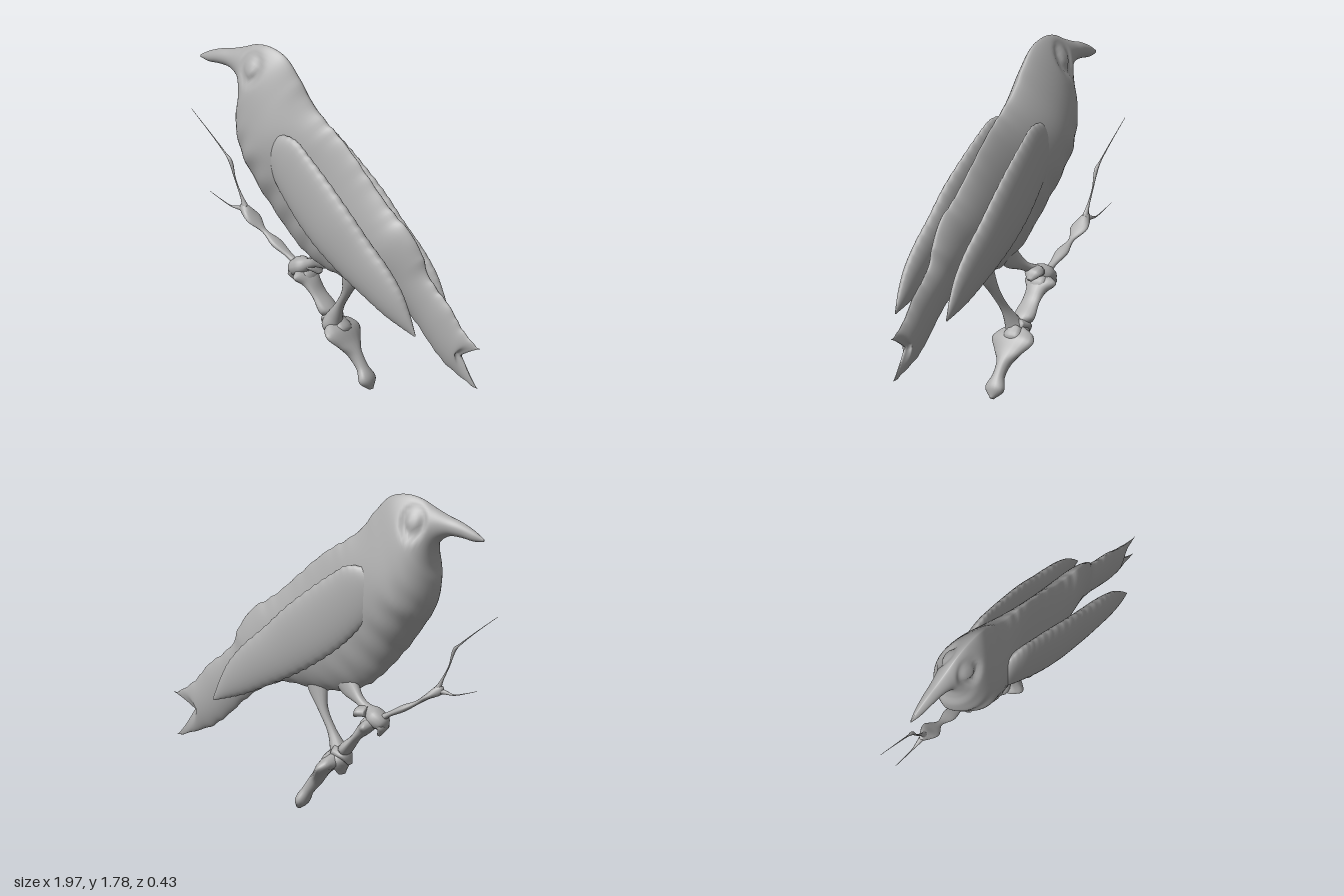
import * as THREE from 'three';

const clay = new THREE.MeshStandardMaterial({ color: 0xacacac });
clay.name = 'plain grey';

// Skins a run of rings. Each station is [topX, topY, bottomX, bottomY, halfThickness, centreZ].
// power > 1 gives a lens-shaped ring with sharp upper and lower edges.
function loft(name, stations, { rings = 60, sides = 24, power = 1, warp } = {}) {
  const top = new THREE.CatmullRomCurve3(stations.map(s => new THREE.Vector3(s[0], s[1], s[4])));
  const bottom = new THREE.CatmullRomCurve3(stations.map(s => new THREE.Vector3(s[2], s[3], s[5])));
  const pos = [], index = [];
  for (let i = -1; i <= rings + 1; i++) {
    const t = THREE.MathUtils.clamp(i / rings, 0, 1);
    const a = top.getPoint(t), b = bottom.getPoint(t);
    const closed = i < 0 || i > rings ? 0 : 1; // first and last rings shrink to a cap
    for (let j = 0; j < sides; j++) {
      const angle = j / sides * Math.PI * 2, c = Math.cos(angle), s = Math.sin(angle);
      const k = (1 - c) / 2;
      const p = new THREE.Vector3(
        THREE.MathUtils.lerp(a.x, b.x, k), THREE.MathUtils.lerp(a.y, b.y, k),
        b.z + closed * Math.sign(s) * Math.pow(Math.abs(s), power) * Math.max(a.z, 0.001));
      if (warp) warp(p, t, c);
      pos.push(p.x, p.y, p.z);
    }
  }
  for (let i = 0; i < rings + 2; i++) {
    for (let j = 0; j < sides; j++) {
      const j2 = (j + 1) % sides;
      const p = i * sides + j, q = i * sides + j2, r = p + sides, u = q + sides;
      index.push(p, q, r, q, u, r);
    }
  }
  const geo = new THREE.BufferGeometry();
  geo.setAttribute('position', new THREE.Float32BufferAttribute(pos, 3));
  geo.setIndex(index);
  geo.computeVertexNormals();
  const mesh = new THREE.Mesh(geo, clay);
  mesh.name = name;
  return mesh;
}

// Rounded limb along a path of [x, y, z, radius, halfThickness].
function limb(name, path, options) {
  const stations = path.map((p, i) => {
    const a = path[Math.max(i - 1, 0)], b = path[Math.min(i + 1, path.length - 1)];
    const dx = b[0] - a[0], dy = b[1] - a[1], l = Math.hypot(dx, dy);
    const nx = -dy / l * p[3], ny = dx / l * p[3];
    return [p[0] + nx, p[1] + ny, p[0] - nx, p[1] - ny, p[4] ?? p[3], p[2]];
  });
  return loft(name, stations, { rings: 36, sides: 14, ...options });
}

// Bill, head, trunk and tail in one skin
function buildBody() {
  const { smoothstep } = THREE.MathUtils;
  const stations = [
    [-0.835, 1.62, -0.835, 1.605, 0.004], [-0.78, 1.655, -0.78, 1.597, 0.02],
    [-0.7, 1.69, -0.7, 1.605, 0.033], [-0.63, 1.71, -0.63, 1.6, 0.042],
    [-0.55, 1.74, -0.575, 1.56, 0.058], [-0.47, 1.775, -0.555, 1.51, 0.078],
    [-0.38, 1.785, -0.555, 1.42, 0.102], [-0.28, 1.755, -0.57, 1.33, 0.13],
    [-0.19, 1.66, -0.545, 1.2, 0.155], [-0.1, 1.54, -0.48, 1.09, 0.168],
    [0, 1.46, -0.39, 0.96, 0.148], [0.1, 1.39, -0.29, 0.84, 0.12],
    [0.22, 1.28, -0.19, 0.74, 0.105], [0.33, 1.17, -0.08, 0.675, 0.1],
    [0.43, 1.08, 0.06, 0.64, 0.095], [0.53, 1.01, 0.2, 0.635, 0.085],
    [0.62, 0.88, 0.33, 0.645, 0.07], [0.645, 0.8, 0.45, 0.6, 0.055],
    [0.72, 0.72, 0.56, 0.52, 0.045], [0.8, 0.65, 0.66, 0.42, 0.042],
    [0.86, 0.57, 0.75, 0.34, 0.038], [0.93, 0.505, 0.87, 0.28, 0.028],
    [1.0, 0.465, 0.98, 0.24, 0.005],
  ].map((s, i) => [...s, i > 15 ? -0.01 : 0]);
  return loft('body', stations, {
    rings: 160, sides: 48, power: 1.4,
    warp(p, t, c) {
      // crown and nape narrow to a ridge while the throat and breast swell
      const head = smoothstep(t, 0.16, 0.24) * (1 - smoothstep(t, 0.48, 0.64));
      p.z *= 1 - 0.32 * c * head;
      // soft pleats down the breast
      const breast = smoothstep(-c, 0.1, 0.6) * smoothstep(t, 0.3, 0.4) * (1 - smoothstep(t, 0.55, 0.65));
      p.z *= 1 + 0.04 * breast * Math.sin(t * 130);
      // feather steps along the back and belly
      const edge = Math.pow(Math.abs(c), 6) * smoothstep(t, 0.3, 0.45);
      p.y += 0.005 * edge * Math.sin(t * 190) * (0.6 + 0.4 * Math.sin(t * 71));
      // groove around each eye
      const r = Math.hypot(p.x + 0.455, (p.y - 1.67) * 0.85);
      p.z *= 1 - 0.2 * Math.exp(-Math.pow((r - 0.055) / 0.02, 2));
      // notch in the end of the tail
      const notch = smoothstep(t, 0.92, 1) * Math.pow(1 - Math.abs(c), 0.8);
      p.x -= 0.12 * notch;
      p.y += 0.05 * notch;
    },
  });
}

// Folded wing; side is +1 for the left and -1 for the right
function buildWing(side) {
  const outline = [
    [-0.26, 1.35, -0.285, 1.29, 0.008], [-0.2, 1.385, -0.275, 1.22, 0.03],
    [-0.1, 1.385, -0.235, 1.13, 0.04], [0, 1.32, -0.15, 1.03, 0.046],
    [0.13, 1.22, -0.05, 0.93, 0.051], [0.27, 1.1, 0.08, 0.83, 0.054],
    [0.4, 0.97, 0.22, 0.74, 0.054], [0.53, 0.85, 0.37, 0.66, 0.05],
    [0.62, 0.74, 0.52, 0.585, 0.04], [0.67, 0.64, 0.63, 0.545, 0.024],
    [0.715, 0.525, 0.705, 0.52, 0.002],
  ];
  const stations = outline.map(([tx, ty, bx, by, h], i) => {
    const k = Math.min(i / 5, 1);
    return side > 0
      ? [tx, ty, bx, by, h, 0.12 + 0.045 * k]
      : [tx * 0.97, ty, bx * 0.97, by, h * 0.86, -0.11 - 0.03 * k];
  });
  return loft(side > 0 ? 'leftWing' : 'rightWing', stations, {
    rings: 90, sides: 32, power: 1.1,
    warp(p, t, c) { p.y += 0.004 * Math.pow(Math.abs(c), 6) * Math.sin(t * 170) * Math.sin(t * Math.PI); },
  });
}

export function createModel() {
  const model = new THREE.Group();
  model.name = 'perchedBird';
  model.add(buildBody(), buildWing(1), buildWing(-1));

  // Legs, flaring into the belly and into the feet
  model.add(limb('rightLeg', [
    [0.02, 0.76, -0.01, 0.06, 0.03], [-0.05, 0.69, -0.02, 0.058, 0.034], [-0.13, 0.635, -0.05, 0.026],
    [-0.185, 0.605, -0.07, 0.03], [-0.235, 0.58, -0.085, 0.05, 0.06], [-0.29, 0.55, -0.09, 0.04, 0.05],
    [-0.315, 0.53, -0.09, 0.01]]));
  model.add(limb('leftLeg', [
    [0.18, 0.75, 0, 0.06, 0.03], [0.15, 0.655, -0.005, 0.058, 0.034], [0.1, 0.54, -0.03, 0.026],
    [0.04, 0.445, -0.05, 0.024], [0, 0.375, -0.065, 0.04], [-0.03, 0.31, -0.08, 0.055, 0.065],
    [-0.04, 0.235, -0.085, 0.02]]));

  // Toes curling round the branch
  const toes = [
    [[-0.24, 0.58], [-0.29, 0.53], [-0.265, 0.485]],
    [[-0.24, 0.57], [-0.19, 0.54], [-0.16, 0.47]],
    [[-0.2, 0.6], [-0.15, 0.595], [-0.12, 0.565]],
    [[0, 0.36], [-0.07, 0.34], [-0.095, 0.295]],
    [[0.0, 0.34], [0.04, 0.3], [0.03, 0.24]],
  ];
  for (const toe of toes) {
    model.add(limb('toe', toe.map(([x, y], i) => [x, y, -0.09, [0.03, 0.026, 0.01][i], [0.04, 0.05, 0.015][i]]),
      { rings: 12, sides: 10 }));
  }

  // Knotted branch with a forked end
  const z = -0.09;
  model.add(limb('branch', [
    [0.215, 0.01, z, 0.012, 0.01], [0.19, 0.055, z, 0.034, 0.055], [0.155, 0.115, z, 0.03, 0.034],
    [0.11, 0.175, z, 0.035, 0.04], [0.075, 0.225, z, 0.032, 0.08], [0.03, 0.28, z, 0.038, 0.125],
    [-0.01, 0.31, z, 0.04, 0.1], [-0.04, 0.345, z, 0.034, 0.025], [-0.07, 0.38, z, 0.034, 0.06],
    [-0.13, 0.45, z, 0.022, 0.052], [-0.18, 0.505, z, 0.034, 0.06], [-0.22, 0.54, z, 0.034, 0.095],
    [-0.26, 0.565, z, 0.026, 0.03], [-0.32, 0.605, z, 0.014, 0.02], [-0.41, 0.655, z, 0.018, 0.035],
    [-0.49, 0.7, z, 0.011, 0.015], [-0.56, 0.75, z, 0.016, 0.05], [-0.62, 0.79, z, 0.026, 0.025],
    [-0.64, 0.81, z, 0.012, 0.01],
  ], { rings: 110, sides: 18 }));
  model.add(limb('upperTwig', [
    [-0.61, 0.785, z, 0.022], [-0.635, 0.84, z, 0.009], [-0.68, 0.93, z, 0.004], [-0.715, 1.03, z, 0.01],
    [-0.745, 1.06, z, 0.005], [-0.83, 1.135, z, 0.0025], [-0.97, 1.25, z, 0.001]], { sides: 8 }));
  model.add(limb('lowerTwig', [
    [-0.6, 0.79, z, 0.022], [-0.655, 0.785, z, 0.012], [-0.71, 0.78, z, 0.004],
    [-0.78, 0.8, z, 0.002], [-0.85, 0.825, z, 0.001]], { sides: 8 }));
  return model;
}
